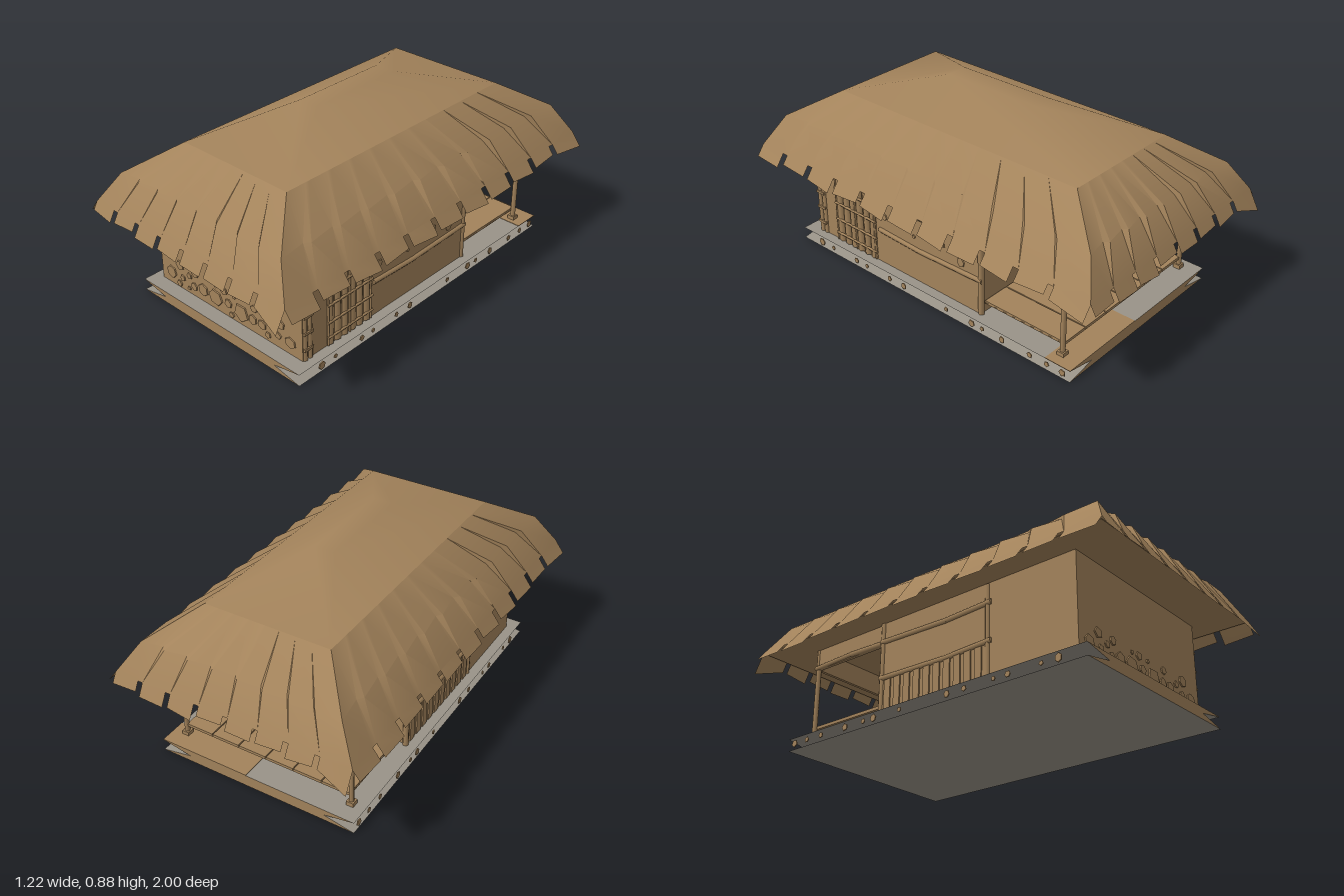
import * as THREE from 'three';
import { toCreasedNormals } from 'three/addons/utils/BufferGeometryUtils.js';

export function createModel() {
  const hut = new THREE.Group();
  const straw = new THREE.MeshStandardMaterial({ color: 0xa3835b, side: THREE.DoubleSide });
  straw.name = 'straw brown';
  const stone = new THREE.MeshStandardMaterial({ color: 0x999388, side: THREE.DoubleSide });
  stone.name = 'stone grey';

  let seed = 7;
  const rnd = () => (seed = (seed * 16807) % 2147483647) / 2147483647;

  const add = (name, geo, mat = straw, x = 0, y = 0, z = 0) => {
    const m = new THREE.Mesh(geo, mat);
    m.name = name;
    m.position.set(x, y, z);
    hut.add(m);
    return m;
  };
  const box = (name, w, h, d, x, y, z) => add(name, new THREE.BoxGeometry(w, h, d), straw, x, y, z);
  // round pole between two points
  const pole = (name, a, b, r) => {
    const from = new THREE.Vector3(...a), to = new THREE.Vector3(...b);
    const m = add(name, new THREE.CylinderGeometry(r, r, from.distanceTo(to), 7));
    m.position.copy(from).add(to).multiplyScalar(0.5);
    m.quaternion.setFromUnitVectors(new THREE.Vector3(0, 1, 0), to.sub(from).normalize());
  };
  const surface = (name, tris, crease) => {
    const g = new THREE.BufferGeometry();
    g.setAttribute('position', new THREE.Float32BufferAttribute(tris.flat(), 3));
    add(name, toCreasedNormals(g, crease));
  };
  const quad = (out, a, b, c, d) => out.push(a, b, c, a, c, d);

  // ---- thatched roof: smooth cap, pleated skirt and ragged eave; rings [halfX, halfZ, y, pleat depth]
  const rings = [[0.05, 0.24, 0.88, 0], [0.3, 0.67, 0.757, 0], [0.475, 0.875, 0.63, 0.02], [0.565, 0.95, 0.49, 0]];
  const cap = [], skirt = [];
  for (let k = 0; k < 4; k++) {
    const long = k % 2, n = long ? 11 : 8, ang = k * Math.PI / 2;
    const c = Math.cos(ang), s = Math.sin(ang);
    const place = (w, y, d) => [w * c + d * s, y, -w * s + d * c];
    const at = (r, u, pleat) => {
      const [hx, hz, y, depth] = rings[r];
      return place(u * (long ? hz : hx), y, (long ? hx : hz) - depth * pleat);
    };
    quad(cap, at(0, -1, 0), at(1, -1, 0), at(1, 1, 0), at(0, 1, 0));

    // each pleat slopes inward, then steps back out
    const cols = [];
    for (let i = 0; i < n; i++) {
      const u = -1 + 2 * i / n, last = i === n - 1;
      cols.push([u, 0], [last ? 1 : u + 2 / n * 0.84, last ? 0 : 1]);
    }
    for (let i = 0; i < cols.length - 1; i++)
      for (let r = 1; r < 3; r++)
        quad(skirt, at(r, ...cols[i]), at(r + 1, ...cols[i]), at(r + 1, ...cols[i + 1]), at(r, ...cols[i + 1]));

    // one eave flap hangs below each pleat
    const [hx, hz, y] = rings[3], hw = long ? hz : hx, hd = long ? hx : hz;
    const flare = long ? 0.75 : 0.555;
    const low = (u, drop) => place(u * hw, y - drop, hd + drop * flare);
    for (let i = 0; i < n; i++) {
      const u0 = cols[2 * i][0], u1 = cols[2 * i + 1][0];
      const d0 = 0.036 + rnd() * 0.018;
      const d1 = i === n - 1 ? (long ? 0.06 : 0.09) : d0 + (rnd() - 0.45) * 0.026;
      quad(skirt, at(3, u0, 0), low(u0, d0), low(u1, d1), at(3, u1, 0));
    }
  }
  quad(cap, [-0.05, 0.88, -0.24], [-0.05, 0.88, 0.24], [0.05, 0.88, 0.24], [0.05, 0.88, -0.24]);
  surface('roofCap', cap, 0.6);
  surface('thatchSkirt', skirt, 0.56);
  box('ceiling', 1.11, 0.004, 1.88, 0, 0.487, 0);

  // ---- foundation: slab with a wedge-shaped groove along both long sides
  const X = 0.485, Z = 0.81, H = 0.055;
  const section = new THREE.Shape([[-X, 0], [X, 0], [0.34, 0.028], [X, H], [-X, H], [-0.34, 0.028]]
    .map(p => new THREE.Vector2(...p)));
  const slab = new THREE.ExtrudeGeometry(section, { depth: 2 * Z, bevelEnabled: false });
  add('foundation', slab, [straw, stone], 0, 0, -Z);
  box('earthPatch', 0.44, 0.003, 0.13, 0.265, H + 0.001, -0.745);

  // ---- closed room
  box('roomWalls', 0.874, 0.435, 1.03, 0, 0.2725, 0.225);

  // ---- porch: plank deck, posts and tie beams
  for (let i = 0; i < 6; i++)
    box('deckPlank', 0.134, 0.012, 0.43, -0.3475 + i * 0.139, 0.109, -0.51);
  box('deckUnderside', 0.83, 0.006, 0.43, 0, 0.104, -0.51);
  for (const s of [-1, 1]) {
    const x = s * 0.42;
    pole('porchPost', [x, H, -0.72], [x, 0.488, -0.72], 0.012);
    box('postFoot', 0.034, 0.02, 0.034, x, 0.065, -0.72);
    pole('roomPost', [s * 0.432, H, -0.29], [s * 0.432, 0.488, -0.29], 0.014);
    box('porchSideBeam', 0.015, 0.1, 0.43, x, 0.438, -0.505);
    pole('porchSideRail', [s * 0.428, 0.396, -0.29], [s * 0.428, 0.402, -0.5], 0.013);
    pole('porchSideRail', [s * 0.428, 0.404, -0.48], [s * 0.428, 0.396, -0.73], 0.011);
  }
  box('porchBackBeam', 0.84, 0.1, 0.015, 0, 0.438, -0.72);

  // ---- horizontal log rails on both side walls
  for (const s of [-1, 1])
    for (const y of [0.222, 0.393]) {
      pole('wallRail', [s * 0.436, y + 0.004, 0.32], [s * 0.436, y - 0.006, 0.07], 0.013);
      pole('wallRail', [s * 0.436, y - 0.006, 0.08], [s * 0.436, y + 0.004, -0.3], 0.013);
    }

  // ---- lattice door on the right wall
  for (let i = 0; i < 6; i++)
    pole('doorCane', [0.43, 0.06, 0.362 + i * 0.044], [0.43, 0.38 + (i % 3) * 0.006, 0.362 + i * 0.044], 0.021);
  for (const z of [0.345, 0.41, 0.472, 0.6])
    pole('doorUpright', [0.445, 0.06, z], [0.445, 0.385, z], 0.005);
  for (const y of [0.1, 0.175, 0.26, 0.34])
    pole('doorBar', [0.448, y, 0.335], [0.448, y, 0.605], 0.006);

  // ---- cane bundle at the right front corner
  for (const z of [0.697, 0.725])
    pole('cornerCane', [0.432, H, z], [0.432, 0.46, z], 0.014);
  for (const y of [0.11, 0.19, 0.27, 0.36])
    box('cornerBinding', 0.008, 0.012, 0.05, 0.445, y, 0.712);

  // ---- slatted lower panel on the left wall
  pole('leftWallPost', [-0.434, H, 0.3], [-0.434, 0.48, 0.3], 0.012);
  for (let i = 0; i < 10; i++)
    box('wallSlat', 0.008, 0.15, 0.035, -0.439, 0.135, -0.25 + i * 0.056);

  // ---- irregular flat stones, facing front (axis 'z') or a side (axis 'x')
  const rock = (name, x, y, z, r, axis, thick) => {
    const g = new THREE.CylinderGeometry(r * 0.92, r, thick, 5 + Math.floor(rnd() * 2));
    g.rotateY(rnd() * 6);
    g.scale(1, 1, 0.85 + rnd() * 0.2);
    if (axis === 'z') g.rotateX(Math.PI / 2);
    else g.rotateZ(x > 0 ? -Math.PI / 2 : Math.PI / 2);
    add(name, toCreasedNormals(g, 0.3), straw, x, y, z);
  };
  const frontRocks = [
    [-0.37, 0.115, 0.033], [-0.31, 0.175, 0.027], [-0.295, 0.115, 0.017], [-0.32, 0.076, 0.017], [-0.255, 0.08, 0.012],
    [-0.25, 0.147, 0.018], [-0.21, 0.177, 0.022], [-0.22, 0.105, 0.02], [-0.16, 0.117, 0.032], [-0.08, 0.117, 0.045],
    [-0.075, 0.177, 0.011], [-0.025, 0.177, 0.022], [0, 0.125, 0.023], [0.02, 0.076, 0.016], [0.04, 0.177, 0.011],
    [0.08, 0.115, 0.046], [0.16, 0.177, 0.021], [0.15, 0.117, 0.025], [0.205, 0.12, 0.026], [0.24, 0.085, 0.017],
    [0.255, 0.147, 0.017], [0.31, 0.178, 0.03], [0.3, 0.115, 0.02], [0.37, 0.115, 0.032]];
  for (const [x, y, r] of frontRocks) rock('frontWallStone', x, y, 0.741, r, 'z', 0.009);
  for (const [z, y, r] of [[0.285, 0.305, 0.018], [0.1, 0.28, 0.01], [-0.01, 0.34, 0.014], [-0.075, 0.31, 0.014], [-0.18, 0.27, 0.024], [0.2, 0.33, 0.008]])
    rock('sideWallStone', 0.438, y, z, r, 'x', 0.008);
  for (const s of [-1, 1])
    for (const [z, r] of [[0.68, 0.02], [0.6, 0.011], [0.44, 0.014], [0.37, 0.012], [0.22, 0.014], [0.13, 0.017],
      [-0.13, 0.012], [-0.28, 0.018], [-0.34, 0.012], [-0.45, 0.018], [-0.6, 0.014], [-0.69, 0.014], [-0.77, 0.018]])
      rock('foundationStone', s * 0.485, 0.028, z, r, 'x', 0.004);

  return hut;
}
